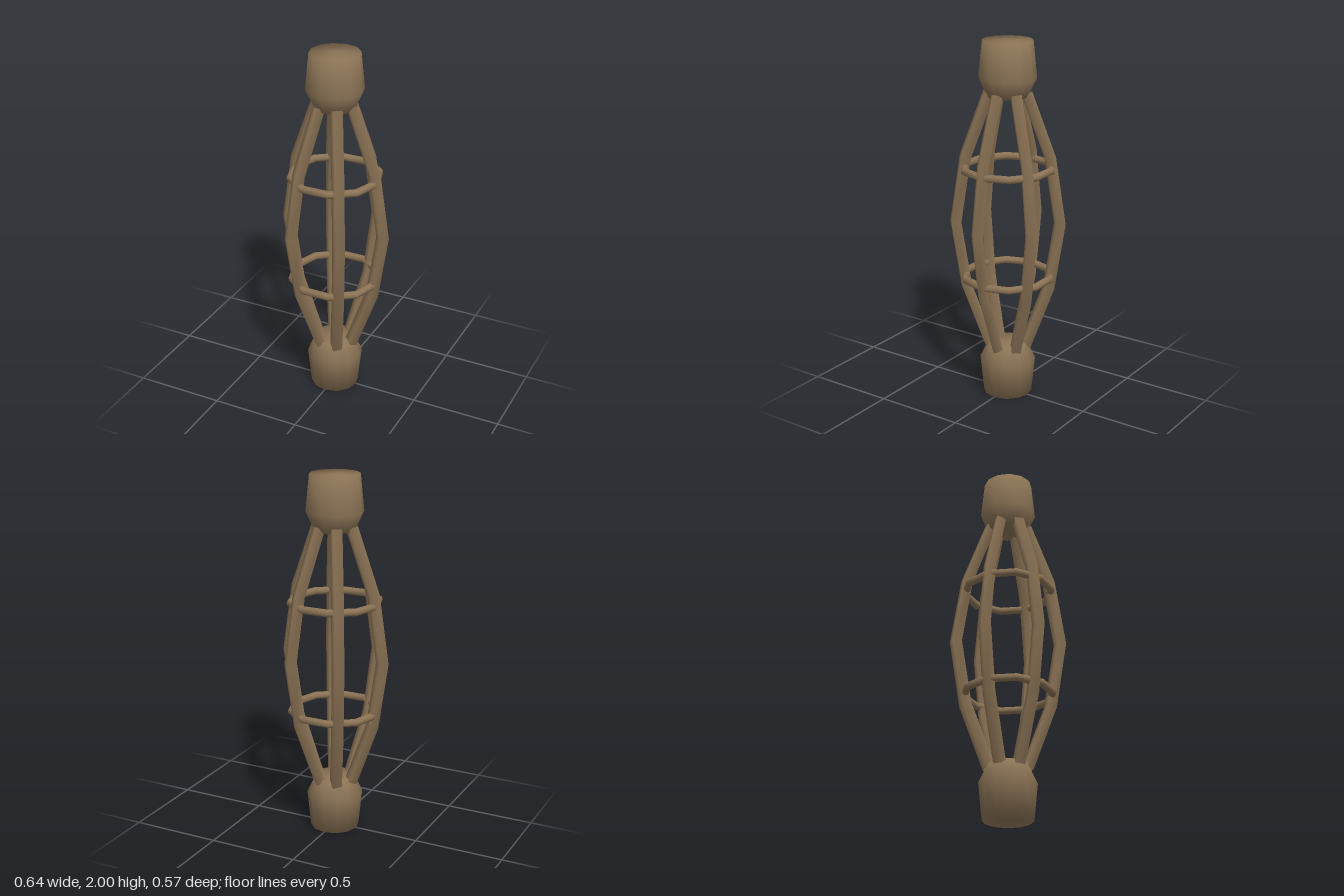
import * as THREE from 'three';

export function createModel() {
  const group = new THREE.Group();
  const bronze = new THREE.MeshStandardMaterial({ color: 0x8b7355, side: THREE.DoubleSide });
  bronze.name = 'bronze';

  const add = (name, geometry) => {
    const mesh = new THREE.Mesh(geometry, bronze);
    mesh.name = name;
    group.add(mesh);
    return mesh;
  };

  // End sockets: closed twelve-sided collars, mirrored about mid height
  const profile = [[0, 0], [0.135, 0], [0.155, 0.2], [0.108, 0.3], [0, 0.3]];
  const socket = (points) => new THREE.LatheGeometry(points.map(([r, y]) => new THREE.Vector2(r, y)), 12);
  add('bottomSocket', socket(profile));
  add('topSocket', socket(profile.map(([r, y]) => [r, 2 - y]).reverse()));

  // Six bowed bars between the sockets
  const bow = [[0.1, 0.28], [0.229, 0.635], [0.284, 1], [0.229, 1.365], [0.1, 1.72]];
  for (let i = 0; i < 6; i++) {
    const a = (i * Math.PI) / 3;
    const path = new THREE.CatmullRomCurve3(
      bow.map(([r, y]) => new THREE.Vector3(r * Math.cos(a), y, r * Math.sin(a)))
    );
    add('cageBar' + (i + 1), new THREE.TubeGeometry(path, 4, 0.037, 4, false));
  }

  // Two ten-sided hoops tying the bars together
  [['lowerHoop', 0.695], ['upperHoop', 1.31]].forEach(([name, y]) => {
    const hoop = new THREE.TorusGeometry(0.241, 0.0215, 8, 10);
    hoop.rotateX(Math.PI / 2);
    add(name, hoop).position.y = y;
  });

  return group;
}
